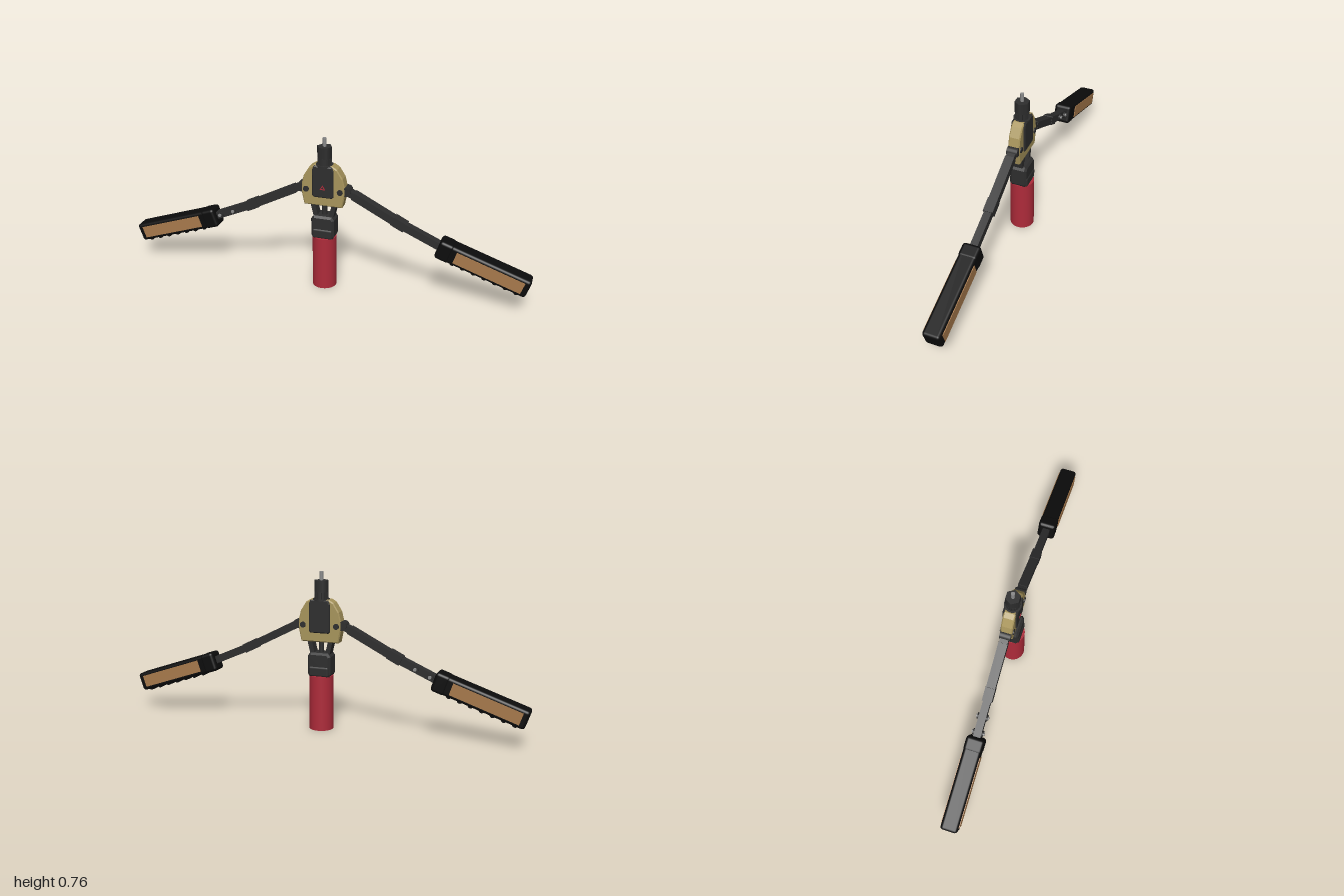
import * as THREE from 'three';
import { RoundedBoxGeometry } from 'three/addons/geometries/RoundedBoxGeometry.js';

const mat = (name, color) => Object.assign(new THREE.MeshStandardMaterial({ color }), { name });

export function createModel() {
  const model = new THREE.Group();
  model.name = 'handRiveter';
  const dark = mat('dark grey', 0x2e2e2e);
  const black = mat('black rubber', 0x0c0c0c);
  const khaki = mat('khaki', 0xa8955c);
  const red = mat('red', 0xae2b3a);
  const tan = mat('tan', 0xa87a4c);
  const steel = mat('steel', 0x8a8a8a);

  const add = (parent, name, geo, material, x = 0, y = 0, z = 0) => {
    const m = new THREE.Mesh(geo, material);
    m.name = name;
    m.position.set(x, y, z);
    parent.add(m);
    return m;
  };
  const cyl = (r, h, n = 24, r2 = r) => new THREE.CylinderGeometry(r2, r, h, n);
  const zCyl = (r, h, n = 20) => cyl(r, h, n).rotateX(Math.PI / 2);
  const outline = (pts) => new THREE.Shape(pts.map(([x, y]) => new THREE.Vector2(x, y)));
  const mirrored = (half) => outline([...half, ...half.map(([x, y]) => [-x, y]).reverse()]);
  // Bevelled slab centred on z; the outline keeps its size
  const slab = (shape, depth, bevel) => new THREE.ExtrudeGeometry(shape, {
    depth: depth - 2 * bevel, bevelEnabled: bevel > 0, bevelThickness: bevel,
    bevelSize: bevel, bevelOffset: -bevel, bevelSegments: 1, curveSegments: 6,
  }).translate(0, 0, -depth / 2 + bevel);
  // Box running between two points in the xy plane
  const bar = (parent, name, a, b, height, depth, material) => {
    const dx = b[0] - a[0], dy = b[1] - a[1];
    const m = add(parent, name, new THREE.BoxGeometry(Math.hypot(dx, dy), height, depth), material,
      (a[0] + b[0]) / 2, (a[1] + b[1]) / 2);
    m.rotation.z = Math.atan2(dy, dx);
    return m;
  };

  // Collecting canister and its collar
  add(model, 'canister', cyl(0.058, 0.265, 40), red, 0, 0.1325);
  add(model, 'collar', slab(mirrored([
    [0.05, 0.262], [0.057, 0.275], [0.057, 0.36], [0.045, 0.377],
  ]), 0.084, 0.01), dark);
  add(model, 'collarBand', new RoundedBoxGeometry(0.1, 0.05, 0.092, 2, 0.01), dark, 0, 0.287);

  // Struts between collar and body
  for (const s of [-1, 1]) bar(model, 'sideStrut', [s * 0.035, 0.36], [s * 0.056, 0.45], 0.022, 0.044, dark);
  add(model, 'middleStrut', cyl(0.013, 0.1, 16), dark, 0, 0.4);

  // Body with front and back cover plates
  add(model, 'body', slab(mirrored([
    [0.093, 0.428], [0.108, 0.5], [0.106, 0.53], [0.095, 0.575], [0.068, 0.618], [0.045, 0.632],
  ]), 0.056, 0.005), khaki);
  add(model, 'coverPlates', slab(mirrored([
    [0.045, 0.472], [0.052, 0.48], [0.052, 0.61], [0.044, 0.63],
  ]), 0.07, 0.005), dark);

  // Warning triangle on the front plate
  const triangle = outline([[-0.014, -0.009], [0.014, -0.009], [0, 0.015]]);
  triangle.holes.push(outline([[-0.007, -0.005], [0, 0.007], [0.007, -0.005]]));
  add(model, 'warningTriangle', slab(triangle, 0.003, 0), red, 0, 0.523, 0.0358);

  // Nose: flange, knurled ring, hex nut and mandrel tip
  add(model, 'noseFlange', cyl(0.041, 0.008, 32), dark, 0, 0.629);
  add(model, 'knurledRing', cyl(0.031, 0.036, 32), dark, 0, 0.648);
  for (let i = 0; i < 20; i++) {
    const a = (i / 20) * Math.PI * 2;
    const rib = add(model, 'knurl', new THREE.BoxGeometry(0.005, 0.034, 0.005), dark,
      Math.sin(a) * 0.031, 0.648, Math.cos(a) * 0.031);
    rib.rotation.y = a;
  }
  add(model, 'hexNut', cyl(0.036, 0.055, 6).rotateY(Math.PI / 6), dark, 0, 0.6925).material.flatShading = false;
  add(model, 'mandrelTip', cyl(0.009, 0.045, 16), steel, 0, 0.7385);

  // One arm pointing to +x; the other is the same turned half round
  const makeArm = (name) => {
    const arm = new THREE.Group();
    arm.name = name;
    add(arm, 'pivotBolt', zCyl(0.014, 0.066), dark, 0.083, 0.508);
    add(arm, 'pivotKnuckle', zCyl(0.022, 0.052), dark, 0.11, 0.511);
    bar(arm, 'pivotLink', [0.1, 0.513], [0.16, 0.486], 0.03, 0.04, dark);
    bar(arm, 'upperRod', [0.142, 0.494], [0.375, 0.374], 0.037, 0.044, dark);
    bar(arm, 'rodSleeve', [0.335, 0.395], [0.395, 0.365], 0.044, 0.047, dark);
    bar(arm, 'lowerRod', [0.37, 0.376], [0.59, 0.279], 0.036, 0.036, dark);

    // Rubber grip, local x runs outwards along it
    const grip = new THREE.Group();
    grip.name = 'grip';
    grip.position.set(0.553, 0.291, 0);
    grip.rotation.z = -0.329;
    arm.add(grip);
    add(grip, 'gripSleeve', new RoundedBoxGeometry(0.452, 0.09, 0.083, 3, 0.014), black, 0.226, 0, 0);
    add(grip, 'gripHead', new RoundedBoxGeometry(0.07, 0.094, 0.087, 3, 0.014), black, 0.036, 0, 0);
    for (let i = 0; i < 7; i++) {
      add(grip, 'fingerRib', zCyl(0.013, 0.056, 12), black, 0.09 + i * 0.053, -0.04);
    }
    for (const s of [-1, 1]) {
      add(grip, 'gripPanel', new THREE.BoxGeometry(0.335, 0.058, 0.006), tan, 0.257, 0, s * 0.0418);
    }
    return arm;
  };
  model.add(makeArm('leftArm'));
  const rightArm = makeArm('rightArm');
  rightArm.rotation.y = Math.PI;
  model.add(rightArm);

  // Locking screws on the right arm only
  for (const [x, y] of [[0.535, 0.303], [0.465, 0.334]]) {
    add(rightArm, 'screwBoss', zCyl(0.015, 0.05), dark, x, y);
    add(rightArm, 'screwPin', zCyl(0.008, 0.062), steel, x, y);
  }
  return model;
}
